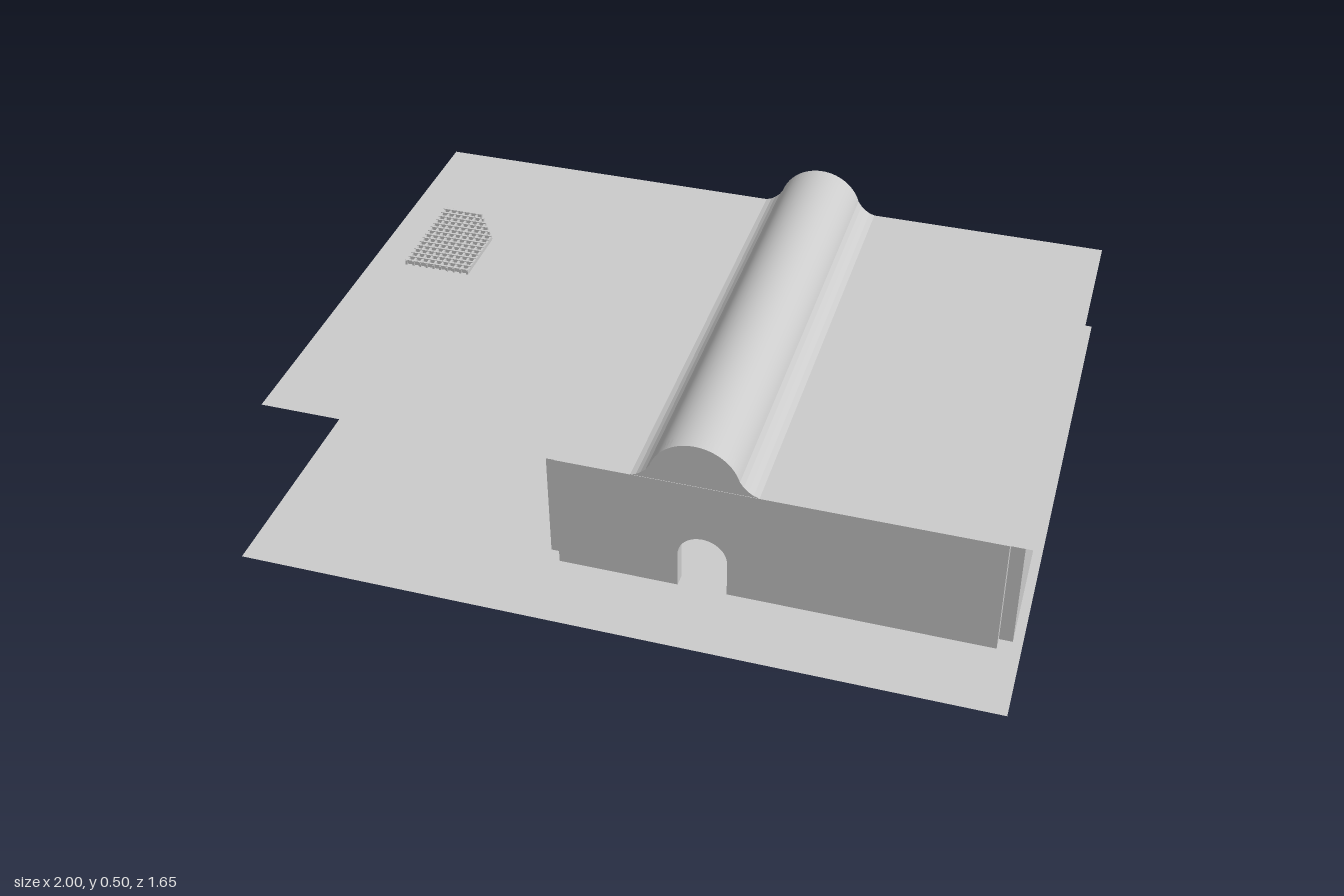
import * as THREE from 'three';

const FLOOR = 0.04, ROOF = 0.38, T = 0.035;
const BACK = -0.73, FRONT = 0.605, VAULT_X = 0.165;
const mat = new THREE.MeshStandardMaterial({ color: 0xcccccc, side: THREE.DoubleSide });

export function createModel() {
  const model = new THREE.Group();

  const add = (name, geo, parent = model) => {
    const mesh = new THREE.Mesh(geo, mat);
    mesh.name = name;
    parent.add(mesh);
    return mesh;
  };
  const box = (name, x0, x1, y0, y1, z0, z1, parent) =>
    add(name, new THREE.BoxGeometry(x1 - x0, y1 - y0, z1 - z0), parent)
      .position.set((x0 + x1) / 2, (y0 + y1) / 2, (z0 + z1) / 2);
  const wall = (name, x0, x1, z0, z1) => box(name, x0, x1, FLOOR, ROOF - 0.001, z0, z1);
  const rect = (path, x0, x1, y0, y1) =>
    path.moveTo(x0, y0).lineTo(x1, y0).lineTo(x1, y1).lineTo(x0, y1).closePath();

  // Wall facing z, with openings that rise from the floor
  const openWall = (name, x0, x1, z0, openings) => {
    const s = new THREE.Shape();
    s.moveTo(x0, FLOOR);
    for (const o of openings) {
      s.lineTo(o.x0, FLOOR);
      if (o.arched) {
        const r = (o.x1 - o.x0) / 2;
        s.lineTo(o.x0, o.top - r);
        s.absarc((o.x0 + o.x1) / 2, o.top - r, r, Math.PI, 0, true);
      } else {
        s.lineTo(o.x0, o.top);
        s.lineTo(o.x1, o.top);
      }
      s.lineTo(o.x1, FLOOR);
    }
    s.lineTo(x1, FLOOR);
    s.lineTo(x1, ROOF - 0.001);
    s.lineTo(x0, ROOF - 0.001);
    const geo = new THREE.ExtrudeGeometry(s, { depth: T, bevelEnabled: false, curveSegments: 16 });
    add(name, geo.translate(0, 0, z0));
  };

  // Ground with a hole for the pool
  const pool = { x0: -0.09, x1: 0.43, z: 0.46 };
  const ground = new THREE.Shape();
  rect(ground, -1, 1, -0.82, 0.83);
  const hole = new THREE.Path();
  rect(hole, pool.x0, pool.x1, -pool.z, pool.z);
  ground.holes.push(hole);
  add('ground', new THREE.ShapeGeometry(ground).rotateX(-Math.PI / 2).translate(0, FLOOR, 0));

  // Stepped sunken pool: alternating risers and treads
  const poolGroup = new THREE.Group();
  poolGroup.name = 'pool';
  model.add(poolGroup);
  const steps = 4, inset = 0.006, rise = FLOOR / steps;
  for (let i = 0; i < steps; i++) {
    const o = i * inset;
    const x0 = pool.x0 + o, x1 = pool.x1 - o, z = pool.z - o, y = FLOOR - i * rise;
    for (const side of [-1, 1]) {
      add('poolRiser', new THREE.PlaneGeometry(x1 - x0, rise), poolGroup)
        .position.set((x0 + x1) / 2, y - rise / 2, side * z);
      const end = add('poolRiser', new THREE.PlaneGeometry(2 * z, rise), poolGroup);
      end.rotation.y = Math.PI / 2;
      end.position.set(side < 0 ? x0 : x1, y - rise / 2, 0);
    }
    const tread = new THREE.Shape();
    rect(tread, x0, x1, -z, z);
    if (i < steps - 1) {
      const cut = new THREE.Path();
      rect(cut, x0 + inset, x1 - inset, -z + inset, z - inset);
      tread.holes.push(cut);
    }
    add(i < steps - 1 ? 'poolTread' : 'poolFloor',
      new THREE.ShapeGeometry(tread).rotateX(-Math.PI / 2).translate(0, y - rise, 0), poolGroup);
  }

  // Flat roof on both sides of the vault
  for (const [x0, x1] of [[-1, 0], [0.33, 1]]) {
    const geo = new THREE.PlaneGeometry(x1 - x0, FRONT - BACK).rotateX(-Math.PI / 2);
    add('roof', geo.translate((x0 + x1) / 2, ROOF, (FRONT + BACK) / 2));
  }

  // Vault profile: stepped moulding, arc, mirrored moulding
  const foot = [[-0.165, 0.38], [-0.15, 0.385], [-0.138, 0.393], [-0.125, 0.405]];
  const R = 0.1203, CY = 0.3847, half = 1.273, arc = [];
  for (let i = 0; i <= 28; i++) {
    const a = -half + (2 * half * i) / 28;
    arc.push([R * Math.sin(a), CY + R * Math.cos(a)]);
  }
  const mirrored = (pts) => pts.map(([x, y]) => [-x, y]).reverse();
  const sweep = (name, pts) => {
    const geo = new THREE.PlaneGeometry(1, 1, pts.length - 1, 1);
    const p = geo.attributes.position;
    for (let i = 0; i < p.count; i++) {
      const [x, y] = pts[i % pts.length];
      p.setXYZ(i, VAULT_X + x, y, i < pts.length ? BACK : FRONT);
    }
    geo.computeVertexNormals();
    add(name, geo);
  };
  sweep('vault', arc);
  const moulding = [...foot, arc[0]];
  for (const side of [moulding, mirrored(moulding)]) {
    for (let i = 1; i < side.length; i++) sweep('vaultMoulding', [side[i - 1], side[i]]);
  }
  const gable = new THREE.Shape([...foot, ...arc, ...mirrored(foot)]
    .map(([x, y]) => new THREE.Vector2(VAULT_X + x, y)));
  for (const z of [BACK, FRONT - T]) {
    const geo = new THREE.ExtrudeGeometry(gable, { depth: T, bevelEnabled: false });
    add('vaultGable', geo.translate(0, 0, z));
  }

  // Main hall: front and back walls with openings
  const backArches = [-0.075, 0.415].map((c) => ({ x0: c - 0.087, x1: c + 0.087, top: 0.31, arched: true }));
  openWall('frontWall', -0.2, 0.58, FRONT - T, [{ x0: 0.12, x1: 0.25, top: 0.21, arched: true }]);
  openWall('backWall', -0.26, 0.62, BACK,
    [backArches[0], { x0: 0.085, x1: 0.255, top: 0.355 }, backArches[1]]);

  // Side walls of the hall
  wall('leftFrontWall', -0.235, -0.2, -0.05, 0.57);
  wall('leftBackWall', -0.26, -0.225, BACK + T, -0.4);
  wall('rightBackWall', 0.585, 0.62, BACK + T, -0.4);
  wall('rightMiddleWall', 0.575, 0.61, -0.4, 0.21);

  // Front room on the left side
  wall('roomFrontWall', 0.58, 0.94, FRONT - T, FRONT);
  wall('roomOuterWall', 0.94, 0.975, 0.21, 0.57);
  wall('roomBackWall', 0.58, 0.94, 0.21, 0.245);
  wall('roomInnerWall', 0.575, 0.61, 0.245, 0.57);

  // Long wing on the right side
  wall('wingFrontWall', -0.915, -0.235, -0.085, -0.05);
  wall('wingBackWall', -0.915, -0.225, -0.4, -0.365);
  wall('wingEndWall', -0.95, -0.915, -0.375, -0.075);

  // Lattices in the back arches
  const bar = 0.0035;
  for (const o of backArches) {
    const g = new THREE.Group();
    g.name = 'archLattice';
    model.add(g);
    const c = (o.x0 + o.x1) / 2, r = (o.x1 - o.x0) / 2, spring = o.top - r, z = BACK + T / 2;
    for (let i = -3; i <= 3; i++) {
      const dx = (i * r) / 4;
      box('uprightBar', c + dx - bar, c + dx + bar, FLOOR, spring + Math.sqrt(r * r - dx * dx),
        z - bar, z + bar, g);
    }
    for (let y = FLOOR + 0.012; y < o.top - 0.005; y += 0.022) {
      const w = y < spring ? r : Math.sqrt(r * r - (y - spring) ** 2);
      box('crossBar', c - w, c + w, y - bar, y + bar, z - bar, z + bar, g);
    }
  }

  // Lattice lying on the roof, with one corner cut away
  const lattice = new THREE.Group();
  lattice.name = 'roofLattice';
  model.add(lattice);
  const b = 0.003;
  for (let i = 0; i <= 9; i++) {
    const x = -0.897 + i * 0.0205;
    const z0 = -0.4 + Math.max(0, i - 5) * 0.028;
    box('longBar', x - b, x + b, ROOF + 0.001, ROOF + 0.013, z0, -0.1, lattice);
  }
  for (let i = 0; i <= 14; i++) {
    const z = -0.39 + i * 0.0203;
    const x1 = -0.71 - Math.max(0, 5 - i) * 0.014;
    box('shortBar', -0.9, x1, ROOF + 0.003, ROOF + 0.015, z - b, z + b, lattice);
  }

  return model;
}
